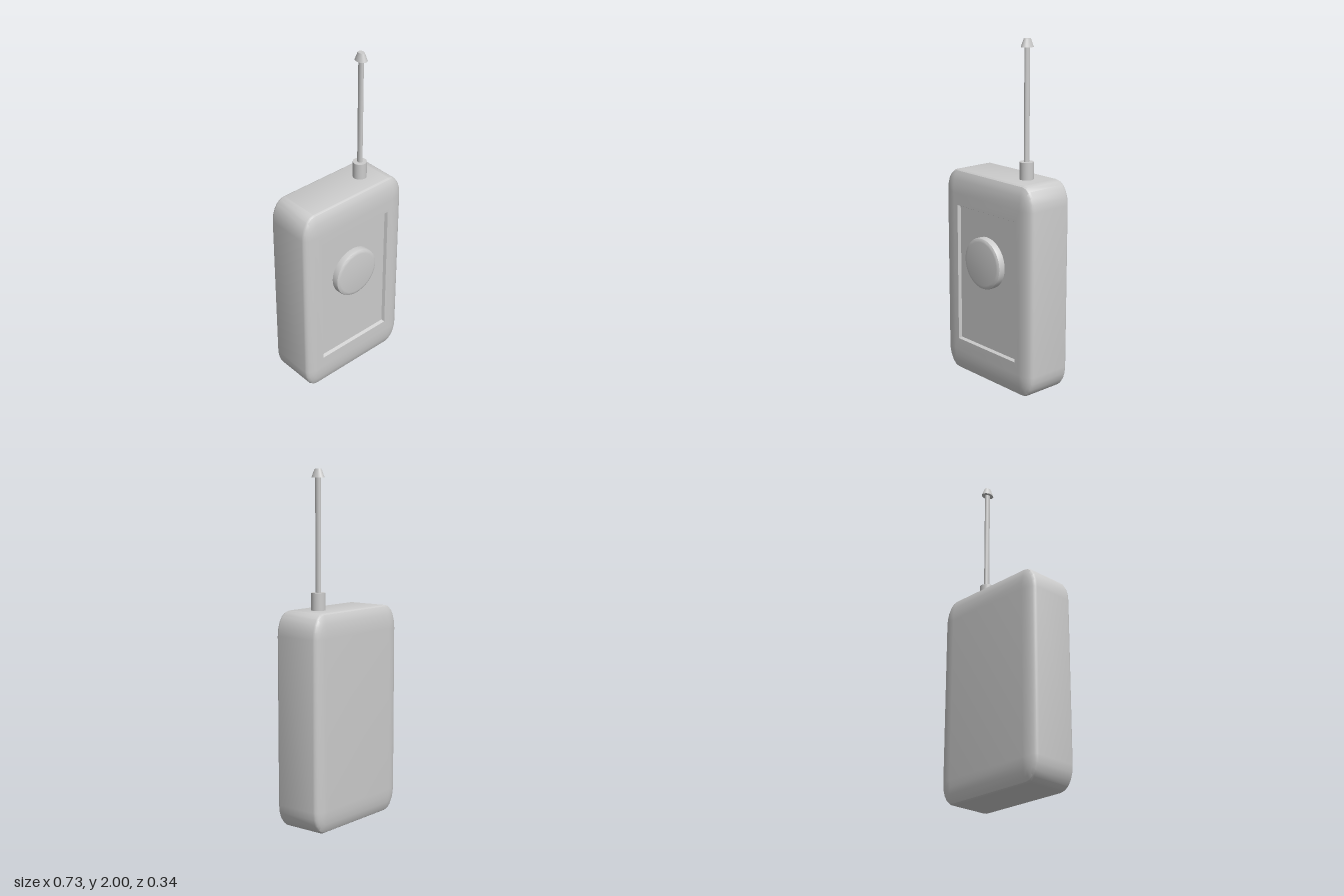
import * as THREE from 'three';
import { toCreasedNormals } from 'three/addons/utils/BufferGeometryUtils.js';

const STEPS = 5; // segments per rounded corner

// Rounded rectangle ring at depth z, with elliptical corners
function ring(hw, hh, rx, ry, cy, z) {
  const pts = [];
  for (let q = 0; q < 4; q++) {
    const sx = q === 0 || q === 3 ? 1 : -1;
    const sy = q < 2 ? 1 : -1;
    for (let i = 0; i <= STEPS; i++) {
      const a = (q + i / STEPS) * Math.PI / 2;
      pts.push([sx * (hw - rx) + rx * Math.cos(a), cy + sy * (hh - ry) + ry * Math.sin(a), z]);
    }
  }
  return pts;
}

// Skin over a stack of rings, closed at both ends
function loft(rings) {
  const n = rings[0].length, pos = [], idx = [];
  rings.forEach(r => r.forEach(p => pos.push(...p)));
  for (let k = 0; k < rings.length - 1; k++) {
    for (let i = 0; i < n; i++) {
      const a = k * n + i, b = k * n + (i + 1) % n;
      idx.push(a, b, b + n, a, b + n, a + n);
    }
  }
  const last = (rings.length - 1) * n;
  for (let i = 1; i < n - 1; i++) idx.push(0, i + 1, i, last, last + i, last + i + 1);
  const g = new THREE.BufferGeometry();
  g.setAttribute('position', new THREE.Float32BufferAttribute(pos, 3));
  g.setIndex(idx);
  return toCreasedNormals(g, 0.55);
}

export function createModel() {
  const model = new THREE.Group();
  const grey = new THREE.MeshStandardMaterial({ color: 0xcccccc });
  const add = (name, geometry, x = 0, y = 0, z = 0) => {
    const m = new THREE.Mesh(geometry, grey);
    m.name = name;
    m.position.set(x, y, z);
    model.add(m);
    return m;
  };

  // Case: rounded box with a sunken front panel
  const W = 0.364, H = 0.613, CY = 0.615, BACK = -0.172, FRONT = 0.142;
  const RX = 0.085, RY = 0.135, RZ = 0.036;
  const bevel = (t, z) => {
    const c = 1 - Math.cos(t);
    const k = Math.max(Math.cos(t), 0);
    return ring(W - RX * c, H - RY * c, RX * k, RY * k, CY, z);
  };
  const rings = [];
  for (let i = STEPS; i >= 0; i--) {
    const t = i / STEPS * Math.PI / 2;
    rings.push(bevel(t, BACK + RZ * (1 - Math.sin(t))));
  }
  for (let i = 0; i <= STEPS; i++) {
    const t = i / STEPS * Math.PI / 2;
    rings.push(bevel(t, FRONT - RZ * (1 - Math.sin(t))));
  }
  rings.push(ring(0.247, 0.41, 0, 0, CY, FRONT));
  rings.push(ring(0.239, 0.402, 0, 0, CY, FRONT - 0.018));
  add('case', loft(rings));

  // Push button with a softened rim
  const profile = [[0, 0], [0.15, 0], [0.15, 0.034], [0.147, 0.042], [0.139, 0.047], [0.127, 0.049], [0, 0.05]]
    .map(p => new THREE.Vector2(...p));
  const button = add('button', toCreasedNormals(new THREE.LatheGeometry(profile, 40), 0.6), -0.008, 0.73, 0.119);
  button.rotation.x = Math.PI / 2;

  // Antenna: round socket, slightly oval rod and tapered tip
  const AX = 0.169, AZ = -0.014;
  add('antennaSocket', new THREE.CylinderGeometry(0.04, 0.04, 0.115, 32), AX, 1.2685, AZ);
  add('antennaRod', new THREE.CylinderGeometry(0.013, 0.013, 0.67, 24), AX, 1.635, AZ).scale.z = 1.33;
  add('antennaTip', new THREE.CylinderGeometry(0.016, 0.03, 0.046, 24), AX, 1.977, AZ).scale.z = 1.33;

  return model;
}
